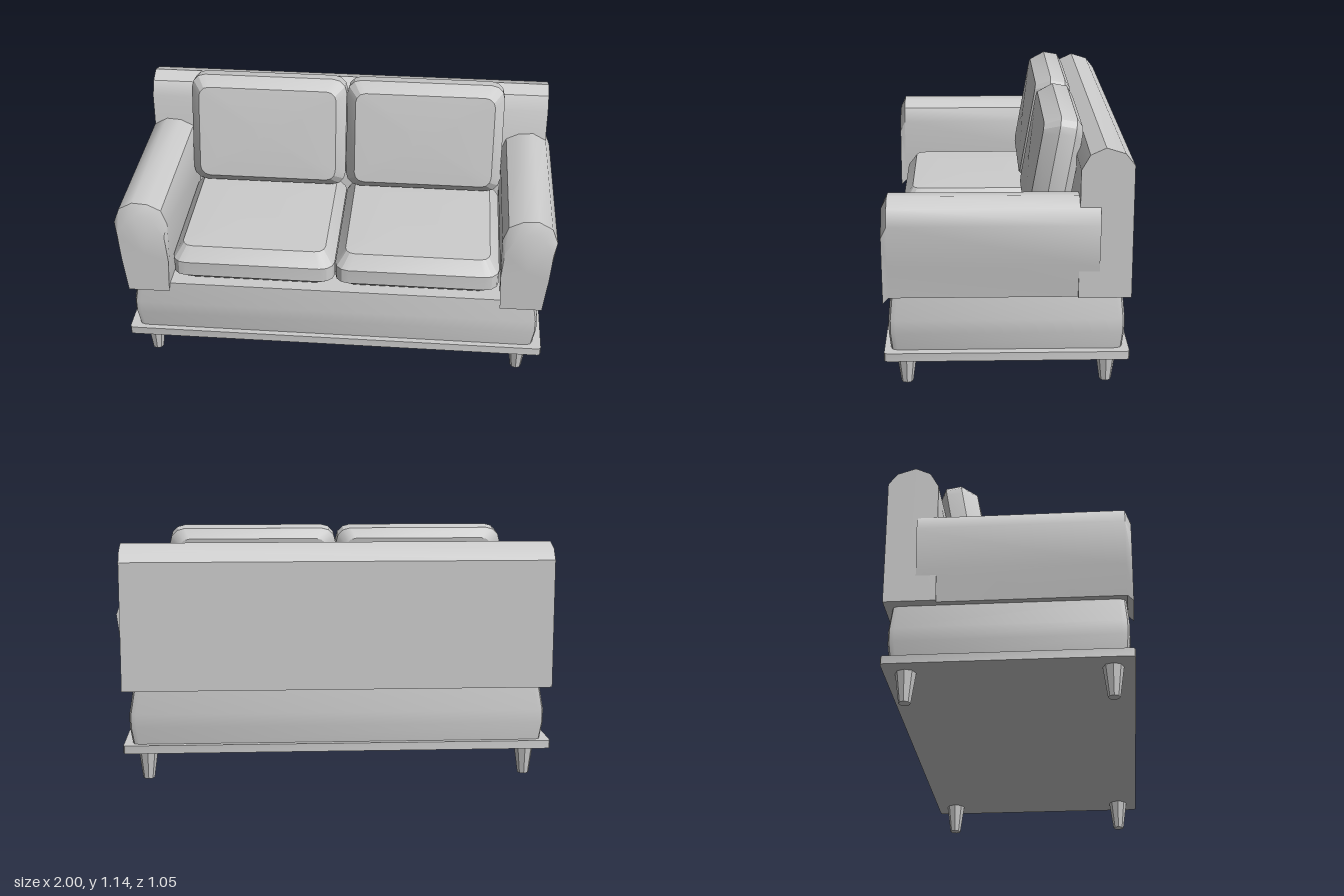
import * as THREE from 'three';
import { toCreasedNormals } from 'three/addons/utils/BufferGeometryUtils.js';

// Joins equal-length counter-clockwise sections [x, y] along z and caps both ends;
// the cap centres may be raised to puff the ends.
function loft(sections, zs, puffStart = 0, puffEnd = 0, crease = 0.5) {
  const pos = [];
  const tri = (...pts) => pts.forEach((p) => pos.push(...p));
  const rings = sections.map((s, k) => s.map(([x, y]) => [x, y, zs[k]]));
  const n = rings[0].length;
  const centre = (ring, dz) => {
    const xs = ring.map((p) => p[0]), ys = ring.map((p) => p[1]);
    return [(Math.min(...xs) + Math.max(...xs)) / 2, (Math.min(...ys) + Math.max(...ys)) / 2, ring[0][2] + dz];
  };
  const first = rings[0], last = rings[rings.length - 1];
  const c0 = centre(first, -puffStart), c1 = centre(last, puffEnd);
  for (let i = 0; i < n; i++) {
    const j = (i + 1) % n;
    for (let k = 0; k + 1 < rings.length; k++) {
      const a = rings[k], b = rings[k + 1];
      tri(a[i], a[j], b[j]);
      tri(a[i], b[j], b[i]);
    }
    tri(c0, first[j], first[i]);
    tri(c1, last[i], last[j]);
  }
  const g = new THREE.BufferGeometry();
  g.setAttribute('position', new THREE.Float32BufferAttribute(pos, 3));
  return toCreasedNormals(g, crease);
}

// Rectangle with rounded corners, given half sizes
function roundedRect(hx, hy, r, steps) {
  const pts = [];
  [[1, 1], [-1, 1], [-1, -1], [1, -1]].forEach(([sx, sy], q) => {
    for (let i = 0; i <= steps; i++) {
      const a = (q + i / steps) * Math.PI / 2;
      pts.push([sx * (hx - r) + r * Math.cos(a), sy * (hy - r) + r * Math.sin(a)]);
    }
  });
  return pts;
}

// Cushion with bevelled edges; its puffed face looks along +z
function cushion(w, h) {
  const rect = (inset) => roundedRect(w / 2 - inset, h / 2 - inset, 0.065 - inset * 0.4, 3);
  return loft([rect(0.04), rect(0), rect(0), rect(0.045)], [-0.139, -0.105, -0.035, 0.03], 0.008, 0.012, 0.35);
}

export function createModel() {
  const group = new THREE.Group();
  const grey = new THREE.MeshStandardMaterial({ color: 0xcccccc });
  grey.name = 'light grey';
  const add = (name, geometry, x = 0, y = 0, z = 0) => {
    const m = new THREE.Mesh(geometry, grey);
    m.name = name;
    m.position.set(x, y, z);
    group.add(m);
    return m;
  };
  const upright = -Math.PI / 2;

  // Tapered legs
  for (const x of [-0.865, 0.865]) {
    for (const z of [-0.432, 0.432]) {
      const leg = new THREE.CylinderGeometry(0.045, 0.026, 0.137, 8).toNonIndexed();
      leg.computeVertexNormals();
      add('leg', leg, x, 0.0685, z);
    }
  }

  // Thin board under the seat base
  const board = roundedRect(0.97, 0.525, 0.015, 2);
  add('baseBoard', loft([board, board], [0.135, 0.172]).rotateX(upright));

  // Slightly bulging seat base
  const baseRings = [[0.93, 0.497], [0.943, 0.505], [0.943, 0.505], [0.925, 0.495]]
    .map(([x, z]) => roundedRect(x, z, 0.03, 2));
  add('seatBase', loft(baseRings, [0.17, 0.25, 0.31, 0.42]).rotateX(upright));

  // Backrest with a rounded top
  const backProfile = [[0.3, 0.42], [0.525, 0.42], [0.525, 1.0], [0.485, 1.05],
    [0.405, 1.075], [0.34, 1.045], [0.303, 0.98]];
  add('backrest', loft([backProfile, backProfile], [-0.972, 0.972], 0, 0, 0.6).rotateY(Math.PI / 2));

  // Flared armrests with a bevelled front
  const armProfile = [[0.765, 0.42], [0.955, 0.42], [0.975, 0.56], [1.0, 0.75], [0.973, 0.82],
    [0.91, 0.855], [0.84, 0.85], [0.78, 0.82], [0.755, 0.75], [0.758, 0.56]];
  const armFront = armProfile.map(([x, y]) => {
    if (y < 0.5) return [x, 0.395];
    if (y < 0.7) return [x, y];
    return [0.877 + (x - 0.877) * (y > 0.76 ? 0.7 : 0.88), y - 0.053];
  });
  for (const s of [1, -1]) {
    const side = (profile) => {
      const p = profile.map(([x, y]) => [s * x, y]);
      return s < 0 ? p.reverse() : p;
    };
    const arm = side(armProfile);
    add(s > 0 ? 'leftArmrest' : 'rightArmrest',
      loft([arm, arm, side(armFront)], [-0.388, 0.5, 0.525], 0, 0, 0.7));

    // Seat cushion and leaning back cushion on each side
    add('seatCushion', cushion(0.755, 0.78).rotateX(upright), s * 0.379, 0.565, 0.09);
    add('backCushion', cushion(0.755, 0.54).rotateX(-Math.PI / 18), s * 0.379, 0.882, -0.156);
  }

  return group;
}
